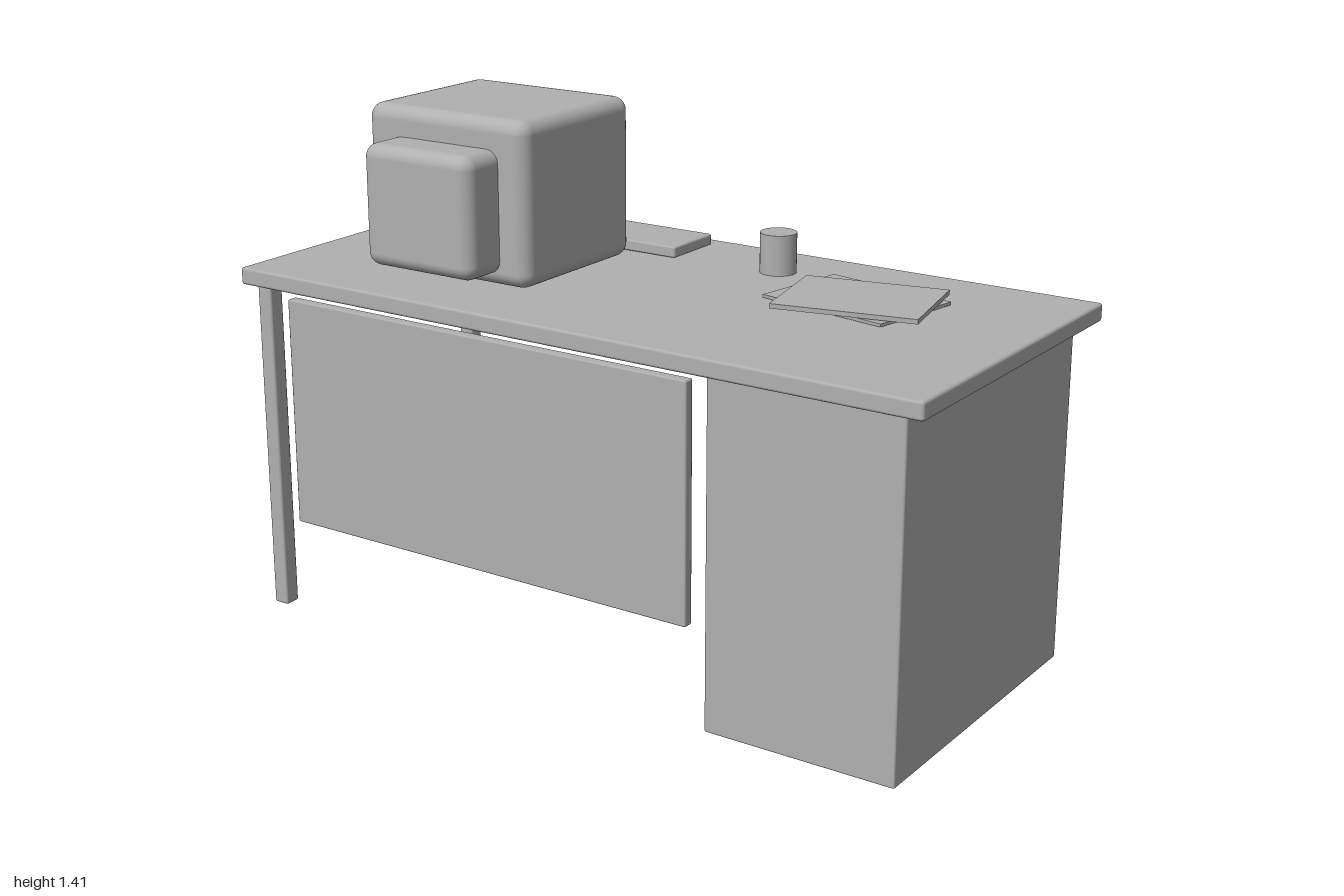
import * as THREE from 'three';
import { RoundedBoxGeometry } from 'three/addons/geometries/RoundedBoxGeometry.js';

export function createModel() {
  const desk = new THREE.Group();
  desk.name = 'officeDesk';
  const grey = new THREE.MeshStandardMaterial({ name: 'plain grey', color: 0xb0b0b0 });

  const add = (name, geometry, x, y, z, parent = desk) => {
    const mesh = new THREE.Mesh(geometry, grey);
    mesh.name = name;
    mesh.position.set(x, y, z);
    parent.add(mesh);
    return mesh;
  };
  // Box with softened edges, given by its extents on each axis
  const block = (name, [x0, x1], [y0, y1], [z0, z1], radius, segments = 1, parent = desk) =>
    add(name, new RoundedBoxGeometry(x1 - x0, y1 - y0, z1 - z0, segments, radius),
      (x0 + x1) / 2, (y0 + y1) / 2, (z0 + z1) / 2, parent);

  // Desk frame
  block('tableTop', [-1, 1], [0.905, 0.952], [-0.485, 0.46], 0.008);
  block('modestyPanel', [-0.874, 0.369], [0.257, 0.876], [0.393, 0.423], 0.005);
  for (const [name, z] of [['frontLeg', 0.402], ['rearLeg', -0.424]])
    block(name, [-0.977, -0.932], [0, 0.906], [z - 0.0225, z + 0.0225], 0.006);

  // Drawer pedestal
  const pedestal = new THREE.Group();
  pedestal.name = 'drawerPedestal';
  desk.add(pedestal);
  block('cabinet', [0.425, 0.943], [0, 0.906], [-0.447, 0.424], 0.005, 1, pedestal);
  for (let i = 0; i < 3; i++) {
    const y = 0.19 + i * 0.275;
    block('drawerFront', [0.441, 0.927], [y - 0.117, y + 0.117], [-0.461, -0.445], 0.004, 1, pedestal);
    block('drawerHandle', [0.604, 0.764], [y + 0.051, y + 0.076], [-0.476, -0.459], 0.003, 1, pedestal);
  }

  // Bulky monitor with its rear housing and screen
  const monitor = new THREE.Group();
  monitor.name = 'monitor';
  desk.add(monitor);
  block('monitorCase', [-0.625, -0.13], [0.997, 1.412], [-0.077, 0.369], 0.036, 4, monitor);
  block('rearHousing', [-0.545, -0.211], [1.03, 1.337], [0.2, 0.485], 0.034, 4, monitor);
  block('screen', [-0.6, -0.155], [1.036, 1.387], [-0.083, -0.075], 0.003, 1, monitor);

  // Things on the table top
  block('keyboard', [-0.65, -0.105], [0.955, 0.986], [-0.42, -0.239], 0.006);
  add('cup', new THREE.CylinderGeometry(0.048, 0.048, 0.108, 32), 0.184, 1.004, -0.288);
  add('lowerPaper', new THREE.BoxGeometry(0.374, 0.008, 0.272), 0.497, 0.96, -0.142).rotation.y = -0.18;
  add('upperPaper', new THREE.BoxGeometry(0.372, 0.012, 0.286), 0.523, 0.972, -0.115).rotation.y = 0.21;

  return desk;
}
